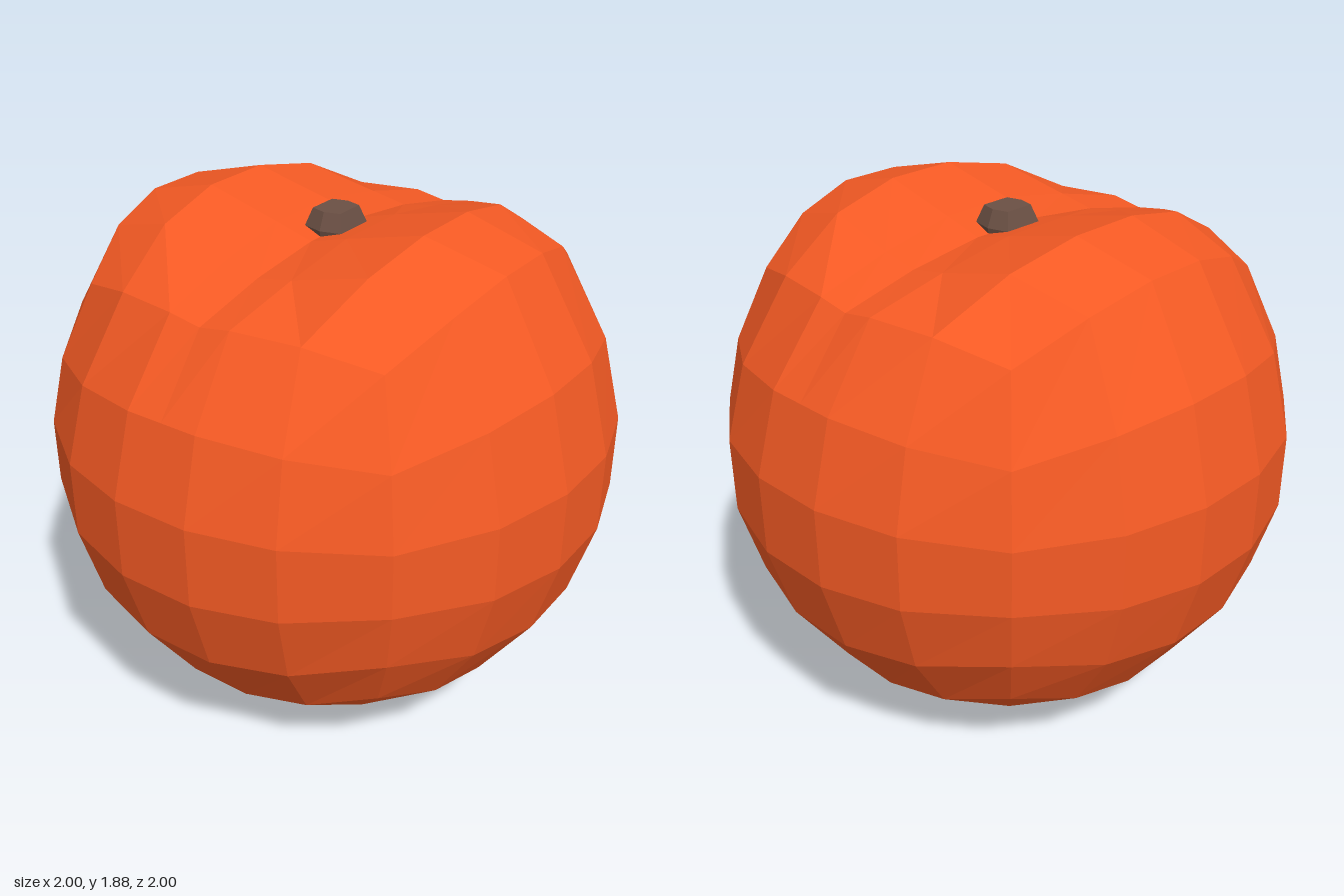
import * as THREE from 'three';

const RADIUS = 1.02;
// Cube-space z for each of the seven grid lines, counted from the middle crease
const Z_LINES = [0, 0.2, 0.6, 1];
// Height change of the top: rows run from the crease outwards, columns from the middle to the sides
const TOP_LIFT = [
  [-0.23, -0.18, -0.045],
  [-0.19, -0.155, -0.025],
  [-0.035, -0.02, 0.01],
  [0.09, 0.07, 0.04],
];
const SHOULDER_LIFT = [0.04, 0.03, 0.01];

// Maps one cube coordinate onto the sphere, given the other two
const round = (a, b, c) =>
  a * Math.sqrt(1 - (b * b + c * c) / 2 + (b * b * c * c) / 3) * RADIUS;

function fruitGeometry() {
  const geo = new THREE.BoxGeometry(2, 2, 2, 5, 5, 6);
  const pos = geo.attributes.position;
  for (let i = 0; i < pos.count; i++) {
    const x = pos.getX(i), y = pos.getY(i);
    const row = Math.round(Math.abs(pos.getZ(i)) * 3);
    const col = Math.round((Math.abs(x) - 0.2) / 0.4);
    // The crease line lies midway between its two neighbouring lines
    const z = Math.sign(pos.getZ(i)) * Z_LINES[row];
    const zr = row === 0 ? 0.2 : z;

    let h = round(y, x, zr);
    if (y > 0.9) h += TOP_LIFT[row][col];
    else if (y > 0.5 && row === 3) h += SHOULDER_LIFT[col];
    pos.setXYZ(i, round(x, y, zr), 1 + h, row === 0 ? 0 : round(z, x, y));
  }
  const flat = geo.toNonIndexed();
  flat.computeVertexNormals();
  return flat;
}

// Six-sided stub, tapering upwards and slightly boxy in plan
function stemGeometry() {
  const geo = new THREE.CylinderGeometry(1, 1, 1, 6, 2, false, Math.PI / 2);
  const pos = geo.attributes.position;
  for (let i = 0; i < pos.count; i++) {
    const x = pos.getX(i), y = pos.getY(i), z = pos.getZ(i);
    const level = Math.round((y + 0.5) * 2);
    const scale = [0.85, 1, 0.74][level];
    const width = Math.abs(x) > 0.9 ? 0.095 : 0.15;
    pos.setXYZ(i, x * width * scale, [1.73, 1.79, 1.85][level], z * 0.087 * scale);
  }
  const flat = geo.toNonIndexed();
  flat.computeVertexNormals();
  return flat;
}

export function createModel() {
  const group = new THREE.Group();
  group.name = 'fruit';
  const add = (name, geometry, color) => {
    const mesh = new THREE.Mesh(
      geometry,
      new THREE.MeshStandardMaterial({ color, flatShading: true })
    );
    mesh.name = name;
    group.add(mesh);
  };
  add('flesh', fruitGeometry(), 0xf55a24);
  add('stem', stemGeometry(), 0x6b5044);
  return group;
}
